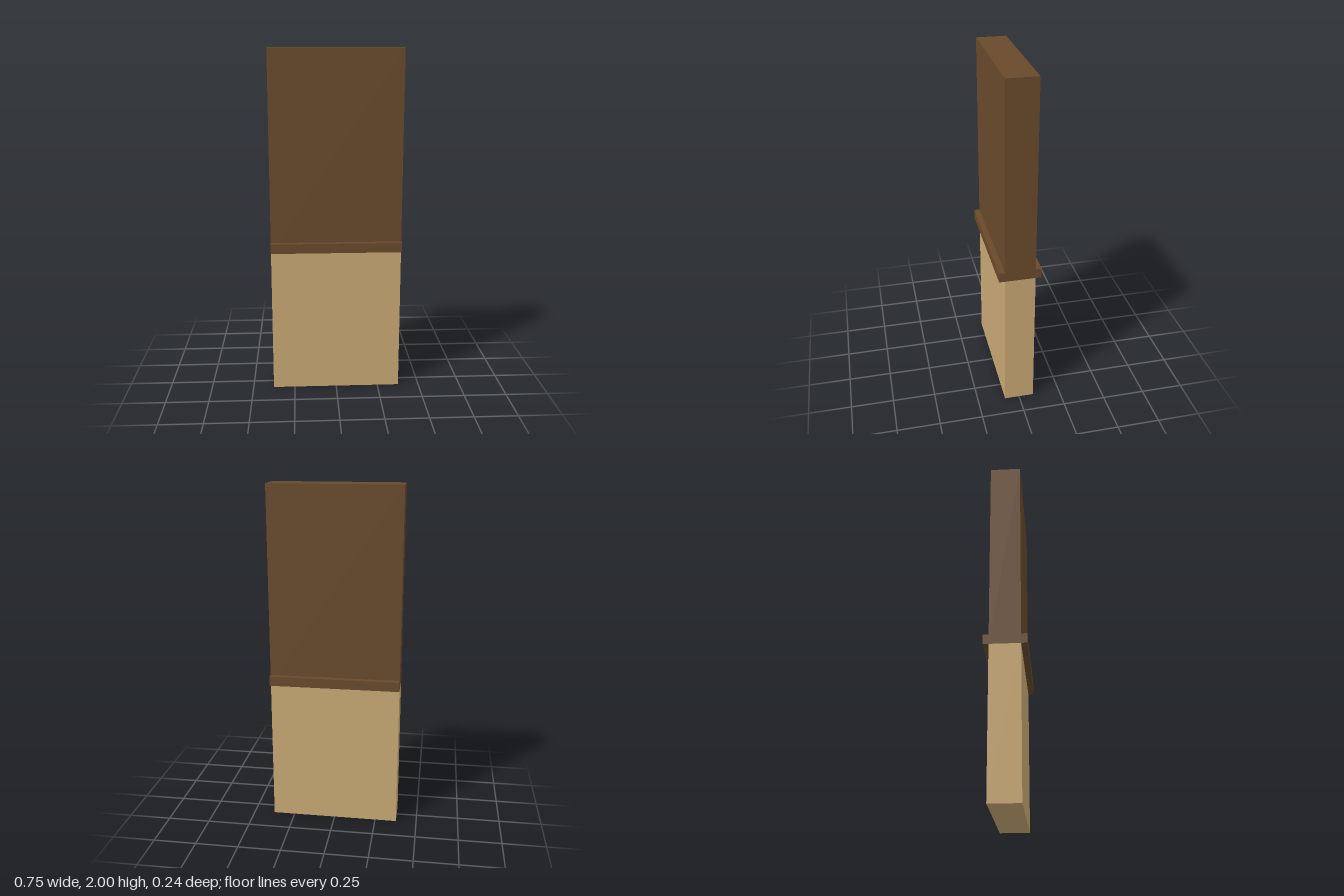
import * as THREE from 'three';

const WIDTH = 0.755;
const DEPTH = 0.174;
const SPLIT = 0.85; // height where the lower panel meets the upper one

export function createModel() {
  const group = new THREE.Group();
  group.name = 'wallSection';

  const darkWood = new THREE.MeshStandardMaterial({ color: 0x694a2c });
  darkWood.name = 'dark wood';
  const paleWood = new THREE.MeshStandardMaterial({ color: 0xc9a974 });
  paleWood.name = 'pale wood';

  // Box spanning from bottom to top, centred on x
  const addBox = (name, material, bottom, top, depth, z = 0) => {
    const mesh = new THREE.Mesh(new THREE.BoxGeometry(WIDTH, top - bottom, depth), material);
    mesh.name = name;
    mesh.position.set(0, (bottom + top) / 2, z);
    group.add(mesh);
  };

  // Wall panels
  addBox('lowerPanel', paleWood, 0, SPLIT, DEPTH);
  addBox('upperPanel', darkWood, SPLIT, 2, DEPTH);

  // Rails projecting from both faces
  const railDepth = 0.12 - DEPTH / 2;
  for (const [name, side] of [['frontRail', 1], ['backRail', -1]]) {
    addBox(name, darkWood, SPLIT, 0.906, railDepth, side * (DEPTH + railDepth) / 2);
  }

  return group;
}
